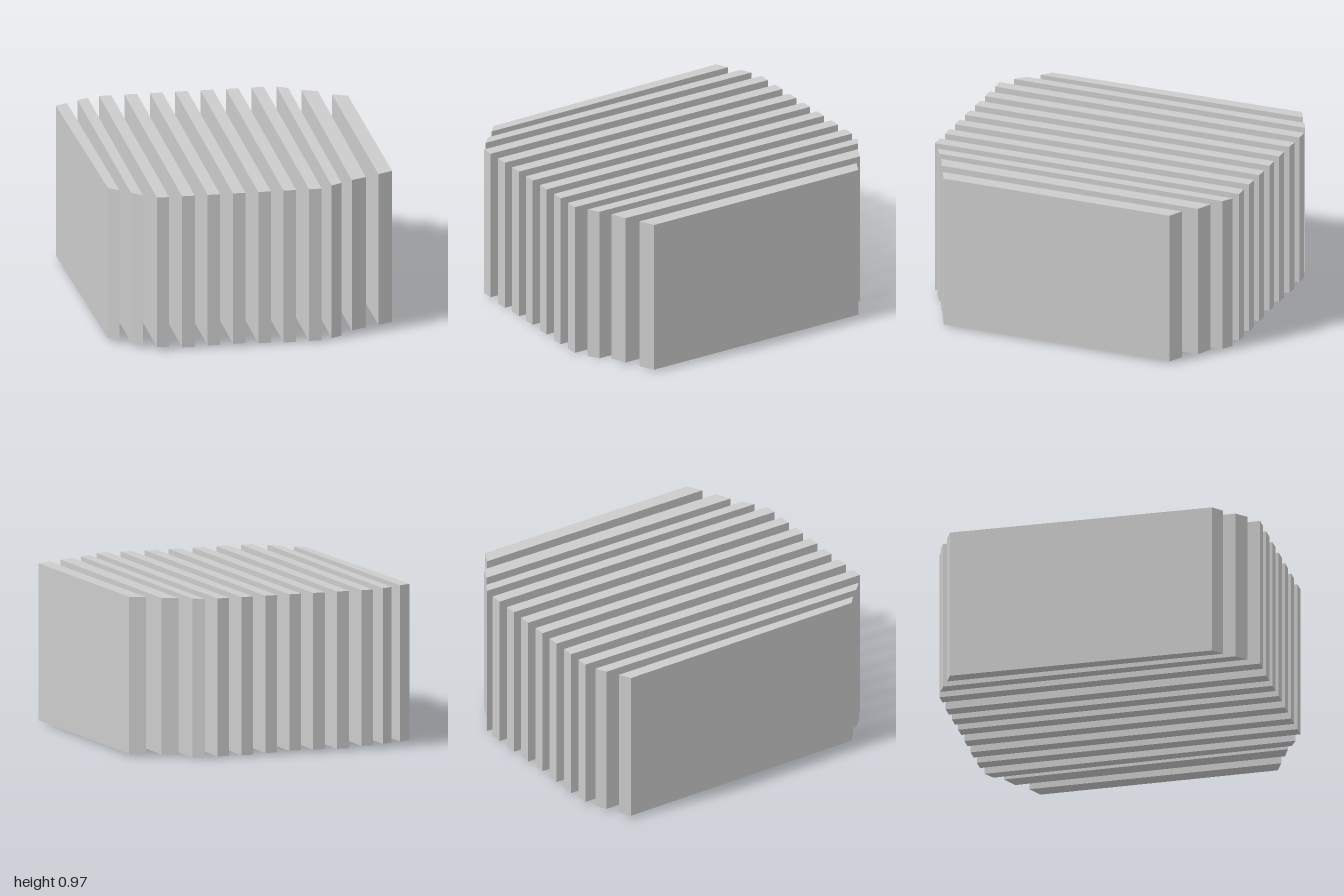
import * as THREE from 'three';

const TOP = 0.973;

// Each slat: bottom height, then plan corners [x, z]:
// back -x, back +x, front +x, front -x
const straight = (bottom, x0, x1) => [bottom, [x0, -1], [x1, -1], [x1, 1], [x0, 1]];
const SLATS = [
  [0.017, [-0.895, -0.862], [-0.82, -0.9], [-0.802, 0.817], [-0.863, 0.765]],
  [0.02, [-0.747, -0.942], [-0.678, -0.975], [-0.68, 0.94], [-0.742, 0.88]],
  straight(0.02, -0.604, -0.529),
  straight(0.01, -0.449, -0.371),
  straight(0.013, -0.292, -0.215),
  straight(0.015, -0.136, -0.06),
  straight(0.01, 0.019, 0.096),
  straight(0.005, 0.175, 0.252),
  straight(0.006, 0.332, 0.409),
  [0, [0.485, -0.99], [0.55, -0.95], [0.546, 0.912], [0.479, 0.952]],
  [0.015, [0.622, -0.902], [0.716, -0.858], [0.711, 0.828], [0.617, 0.87]],
  [0.012, [0.789, -0.785], [0.88, -0.74], [0.889, 0.738], [0.796, 0.785]],
];

export function createModel() {
  const model = new THREE.Group();
  model.name = 'slatBlock';
  const material = new THREE.MeshStandardMaterial({ color: 0xcccccc, flatShading: true });

  // Upright slats, some with bevelled ends, extruded from their plan outline
  SLATS.forEach(([bottom, ...corners], i) => {
    const outline = new THREE.Shape(corners.map(([x, z]) => new THREE.Vector2(x, -z)));
    const geometry = new THREE.ExtrudeGeometry(outline, { depth: TOP - bottom, bevelEnabled: false });
    geometry.rotateX(-Math.PI / 2);
    const slat = new THREE.Mesh(geometry, material);
    slat.name = `slat${i + 1}`;
    slat.position.y = bottom;
    model.add(slat);
  });
  return model;
}
